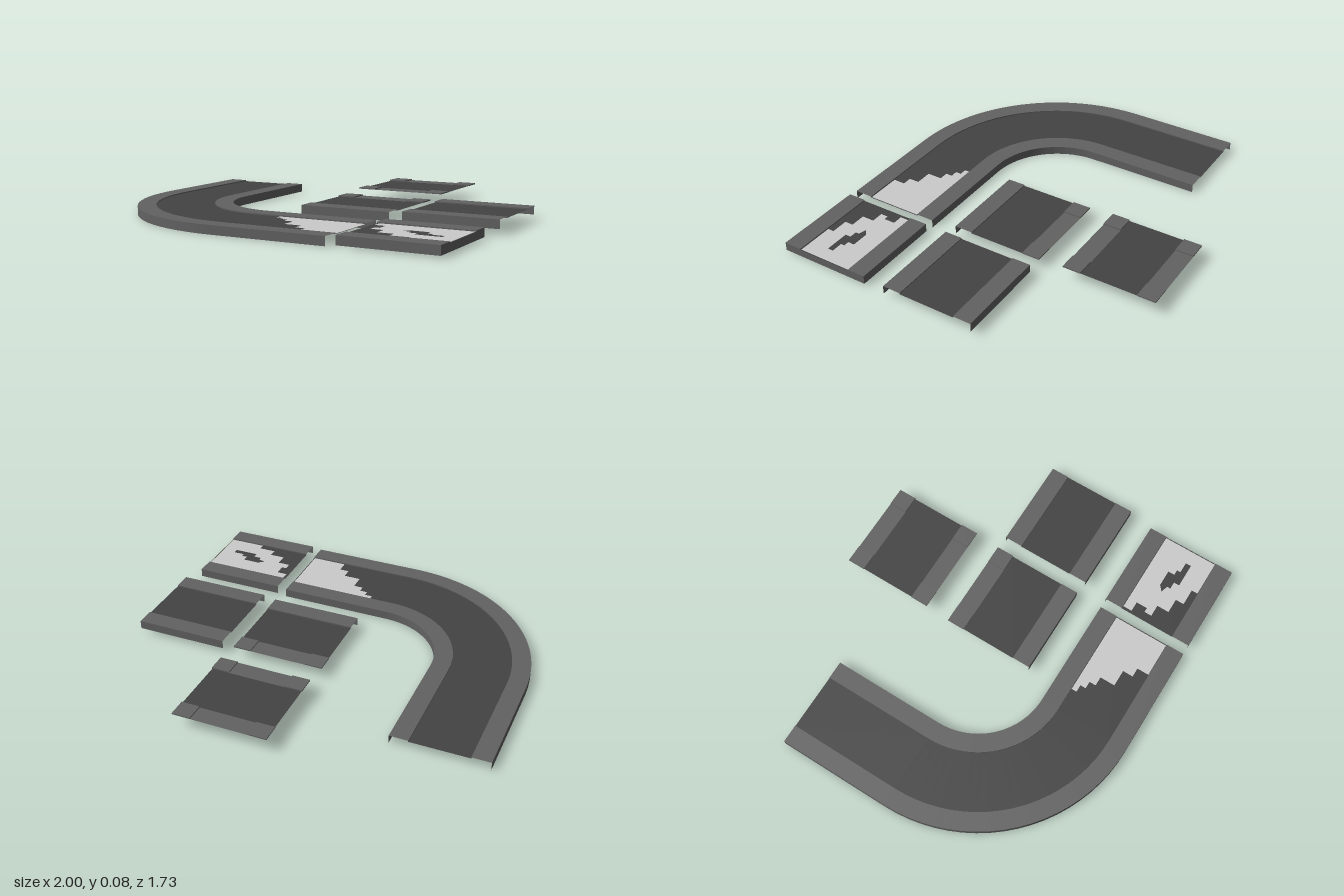
import * as THREE from 'three';

const mat = (color) => new THREE.MeshStandardMaterial({ color, side: THREE.DoubleSide });
const WALK = mat(0x626262), ROAD = mat(0x434343), PATCH = mat(0xcccccc);

const HALF = 0.2425; // half of the full width
const LANE = 0.148;  // half of the carriageway
const CURB = 0.006;  // drop from pavement to road
const SKIRT = 0.044; // height of the outer side

function add(group, name, geometry, material, x = 0, y = 0, z = 0) {
  const mesh = new THREE.Mesh(geometry, material);
  mesh.name = name;
  mesh.position.set(x, y, z);
  group.add(mesh);
  return mesh;
}

// One smooth strip between two profile points [offset, y], swept along frames {x, z, nx, nz}
function strip(frames, a, b) {
  const pos = [], index = [];
  frames.forEach((f, i) => {
    for (const [o, y] of [a, b]) pos.push(f.x + f.nx * o, y, f.z + f.nz * o);
    if (i) {
      const k = 2 * (i - 1);
      index.push(k, k + 1, k + 2, k + 1, k + 3, k + 2);
    }
  });
  const g = new THREE.BufferGeometry();
  g.setAttribute('position', new THREE.Float32BufferAttribute(pos, 3));
  g.setIndex(index);
  g.computeVertexNormals();
  return g;
}

// Road with pavements, curbs and skirts; sides lists which edges get a pavement
function sweepRoad(group, frames, top, sides = [-1, 1]) {
  const low = top - CURB;
  add(group, 'road', strip(frames, [-LANE, low], [LANE, low]), ROAD);
  for (const s of sides) {
    const outline = [[s * LANE, low], [s * LANE, top], [s * HALF, top], [s * HALF, top - SKIRT]];
    if (s < 0) outline.reverse();
    const names = ['curb', 'pavement', 'skirt'];
    if (s < 0) names.reverse();
    names.forEach((n, i) => add(group, n, strip(frames, outline[i], outline[i + 1]), WALK));
  }
}

const straight = (x0, x1, z) => [x0, x1].map((x) => ({ x, z, nx: 0, nz: 1 }));

// Junction edge: two raised corner blocks with a flat apron between them
function openEdge(group, cx, cz, side, top) {
  const w = HALF - LANE, z = cz + side * (HALF + LANE) / 2;
  for (const s of [-1, 1]) {
    add(group, 'cornerPavement', new THREE.BoxGeometry(w, CURB, w), WALK,
      cx + s * (HALF + LANE) / 2, top - CURB / 2, z);
  }
  const apron = new THREE.PlaneGeometry(2 * LANE, w).rotateX(-Math.PI / 2);
  add(group, 'apron', apron, WALK, cx, top - CURB, z);
}

// Thin pale surface showing on both faces of a road
function patch(group, points, holes, y) {
  const toV = (list) => list.map(([x, z]) => new THREE.Vector2(x, z));
  const shape = new THREE.Shape(toV(points));
  holes.forEach((h) => shape.holes.push(new THREE.Path(toV(h))));
  const g = new THREE.ExtrudeGeometry(shape, { depth: 0.0016, bevelEnabled: false }).rotateX(Math.PI / 2);
  add(group, 'paleSurface', g, PATCH, 0, y + 0.0008, 0);
}

function section(root, name) {
  const g = new THREE.Group();
  g.name = name;
  root.add(g);
  return g;
}

export function createModel() {
  const root = new THREE.Group();
  root.name = 'roadKit';

  // Long bend: straight, quarter turn, straight
  const bend = section(root, 'curvedRoad');
  const cx = -0.14, R = 0.6175, N = 20;
  const frames = [{ x: cx - R, z: -0.595, nx: -1, nz: 0 }];
  for (let i = 0; i <= N; i++) {
    const a = (i / N) * Math.PI / 2, nx = -Math.cos(a), nz = Math.sin(a);
    frames.push({ x: cx + nx * R, z: nz * R, nx, nz });
  }
  frames.push({ x: 0.45, z: R, nx: 0, nz: 1 });
  sweepRoad(bend, frames, 0.044);
  patch(bend, [[-0.01, 0.472], [0.445, 0.472], [0.445, 0.763], [0.26, 0.763], [0.26, 0.7], [0.21, 0.7],
    [0.21, 0.645], [0.12, 0.645], [0.12, 0.565], [0.07, 0.565], [0.07, 0.53], [0.03, 0.53],
    [0.03, 0.5], [-0.01, 0.5]], [], 0.044 - CURB);

  // Closed end piece
  const end = section(root, 'endRoad');
  const endTop = 0.053;
  sweepRoad(end, straight(0.5, 0.978, R), endTop);
  add(end, 'endWall', strip([{ x: 0.978, z: R, nx: 0, nz: -1 }, { x: 0.978, z: R, nx: 0, nz: 1 }]
    .map((f) => ({ ...f, z: f.z + f.nz * HALF, nz: 0 })), [0, endTop - SKIRT], [0, endTop - CURB]), WALK);
  for (const s of [-1, 1]) {
    add(end, 'endWallCap', new THREE.PlaneGeometry(HALF - LANE, CURB).rotateY(Math.PI / 2), WALK,
      0.978, endTop - CURB / 2, R + s * (HALF + LANE) / 2);
  }
  patch(end, [[0.515, 0.472], [0.973, 0.472], [0.973, 0.763], [0.78, 0.763], [0.78, 0.73], [0.69, 0.73],
    [0.69, 0.685], [0.61, 0.685], [0.61, 0.62], [0.545, 0.62], [0.545, 0.58], [0.57, 0.58],
    [0.57, 0.52], [0.515, 0.52]],
  [[[0.69, 0.6], [0.72, 0.575], [0.81, 0.575], [0.81, 0.61], [0.84, 0.61], [0.84, 0.63], [0.9, 0.63],
    [0.9, 0.66], [0.77, 0.66], [0.77, 0.63], [0.73, 0.63], [0.73, 0.61]]], endTop - CURB);

  // Straight piece
  sweepRoad(section(root, 'straightRoad'), straight(0.517, 1, -0.002), 0.07);

  // Three-way junction, open at the back
  const tee = section(root, 'teeJunction');
  sweepRoad(tee, straight(-0.033, 0.447, -0.01), 0.062, [1]);
  openEdge(tee, 0.207, -0.01, -1, 0.062);

  // Four-way junction
  const cross = section(root, 'crossJunction');
  sweepRoad(cross, straight(-0.03, 0.45, -0.627), 0.078, []);
  for (const s of [-1, 1]) openEdge(cross, 0.21, -0.627, s, 0.078);

  return root;
}
